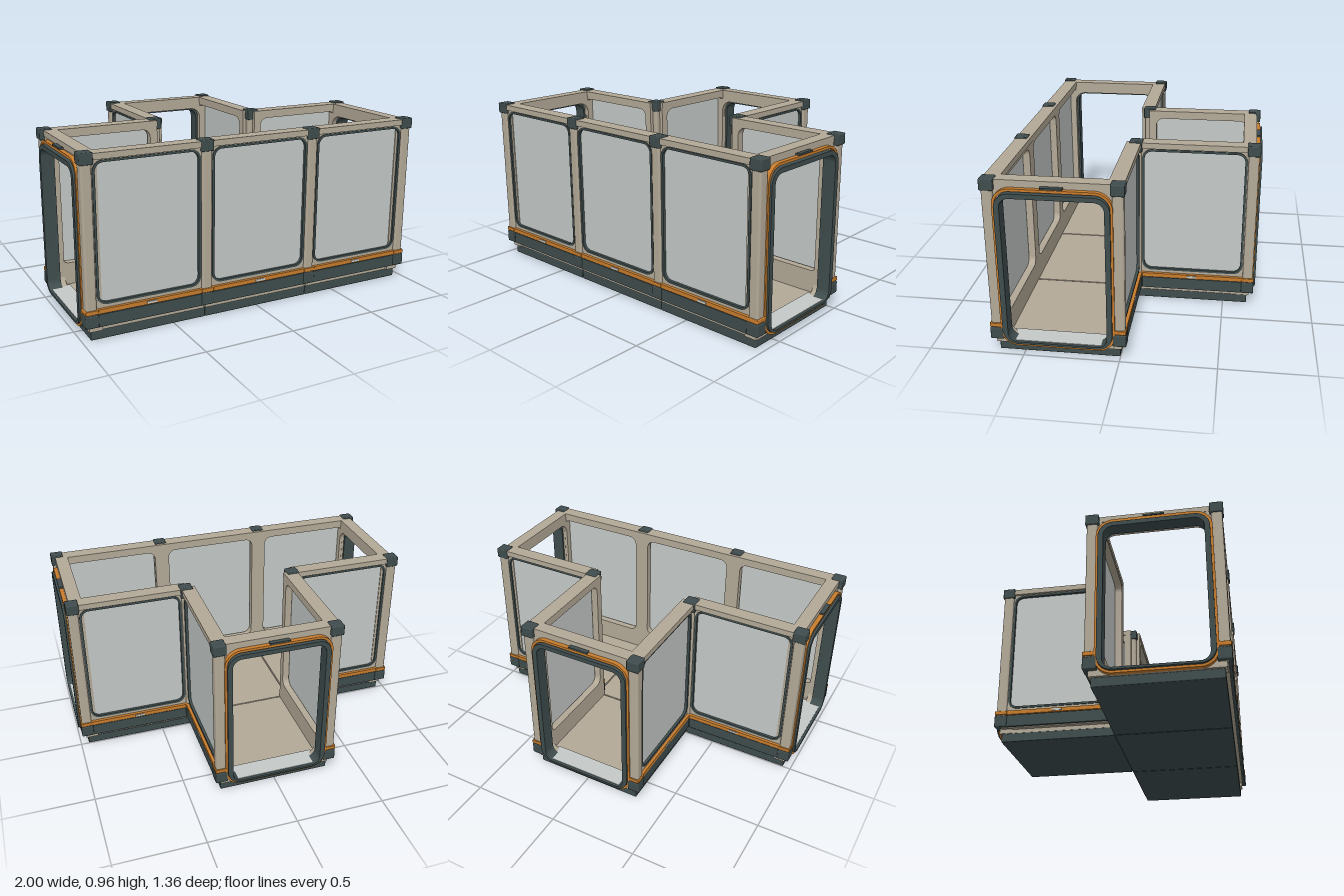
import * as THREE from 'three';
import { toCreasedNormals } from 'three/addons/utils/BufferGeometryUtils.js';
import { RoundedBoxGeometry } from 'three/addons/geometries/RoundedBoxGeometry.js';

const mat = (name, color) => Object.assign(new THREE.MeshStandardMaterial({ color }), { name });
const beige = mat('warm beige', 0xb3a997);
const dark = mat('dark slate', 0x3f4c4d);
const orange = mat('orange trim', 0xc87d2d);
const pale = mat('pale pane', 0xc4c9c7);

const CELL = 0.637, EDGE = 0.955, MID = 0.3185;

// Rounded rectangle outline between two heights
function outline(half, y0, y1, r, Type = THREE.Shape) {
  const s = new Type();
  if (!r) {
    s.moveTo(-half, y0); s.lineTo(half, y0); s.lineTo(half, y1); s.lineTo(-half, y1); s.closePath();
    return s;
  }
  s.moveTo(-half + r, y0);
  s.absarc(half - r, y0 + r, r, -Math.PI / 2, 0);
  s.absarc(half - r, y1 - r, r, 0, Math.PI / 2);
  s.absarc(-half + r, y1 - r, r, Math.PI / 2, Math.PI);
  s.absarc(-half + r, y0 + r, r, Math.PI, Math.PI * 1.5);
  s.closePath();
  return s;
}

function add(group, name, geometry, material, x = 0, y = 0, z = 0) {
  const m = new THREE.Mesh(geometry, material);
  m.name = name;
  m.position.set(x, y, z);
  group.add(m);
  return m;
}

// Plate with a rounded opening; outer and inner are [half, y0, y1, radius]
function ring(group, name, outer, inner, z0, z1, material) {
  const s = outline(...outer);
  if (inner) s.holes.push(outline(...inner, THREE.Path));
  const g = new THREE.ExtrudeGeometry(s, { depth: z1 - z0, bevelEnabled: false, curveSegments: 8 });
  add(group, name, toCreasedNormals(g, 0.5), material, 0, 0, z0);
}

// Box given by its height and depth ranges
function bar(group, name, width, y0, y1, z0, z1, material) {
  add(group, name, new THREE.BoxGeometry(width, y1 - y0, z1 - z0), material, 0, (y0 + y1) / 2, (z0 + z1) / 2);
}

// Closed wall with a window; local +z is outside
function windowWall() {
  const g = new THREE.Group();
  g.name = 'windowWall';
  ring(g, 'wallPanel', [MID, 0.075, 0.94, 0], [0.275, 0.2, 0.91, 0.045], -0.05, 0.015, beige);
  ring(g, 'windowGasket', [0.286, 0.19, 0.92, 0.055], [0.273, 0.202, 0.908, 0.043], -0.01, 0.02, dark);
  ring(g, 'windowPane', [0.276, 0.199, 0.911, 0.045], null, -0.01, 0.005, pale);
  bar(g, 'topBeam', CELL, 0.925, 0.957, -0.052, 0.028, beige);
  bar(g, 'skirt', CELL, 0.08, 0.146, 0, 0.03, dark);
  bar(g, 'trimBand', CELL, 0.15, 0.173, 0, 0.032, orange);
  bar(g, 'badge', 0.055, 0.156, 0.167, 0.03, 0.036, pale);
  return g;
}

// Open doorway with its seals; local +z is outside
function doorWall(half) {
  const g = new THREE.Group();
  g.name = 'doorWall';
  ring(g, 'doorPanel', [half, 0.05, 0.94, 0], [0.27, 0.072, 0.885, 0.065], -0.06, 0.01, beige);
  bar(g, 'topBeam', CELL, 0.925, 0.957, -0.06, 0.012, beige);
  ring(g, 'doorTrim', [0.296, 0.05, 0.92, 0.09], [0.284, 0.062, 0.906, 0.078], 0, 0.034, orange);
  ring(g, 'doorSeal', [0.284, 0.064, 0.898, 0.078], [0.256, 0.076, 0.873, 0.05], -0.03, 0.045, dark);
  bar(g, 'threshold', 0.5, 0.066, 0.079, -0.08, 0.03, pale);
  bar(g, 'doorTag', 0.11, 0.923, 0.932, 0, 0.036, dark);
  return g;
}

// Corner post with its cap, foot and band
function cornerPost() {
  const g = new THREE.Group();
  g.name = 'cornerPost';
  add(g, 'post', new RoundedBoxGeometry(0.057, 0.86, 0.057, 2, 0.012), beige, 0, 0.51, 0);
  add(g, 'postCap', new RoundedBoxGeometry(0.07, 0.06, 0.07, 2, 0.006), dark, 0, 0.934, 0);
  add(g, 'postFoot', new RoundedBoxGeometry(0.07, 0.066, 0.07, 2, 0.006), dark, 0, 0.113, 0);
  add(g, 'postBand', new RoundedBoxGeometry(0.07, 0.023, 0.07, 2, 0.004), orange, 0, 0.1615, 0);
  return g;
}

export function createModel() {
  const root = new THREE.Group();
  root.name = 'corridorJunction';
  const place = (part, x, z, turn = 0) => {
    part.position.set(x, 0, z);
    part.rotation.y = turn;
    root.add(part);
  };

  // Four square floor modules in a T layout
  for (const [x, z] of [[-CELL, MID], [0, MID], [CELL, MID], [0, -MID]]) {
    const g = new THREE.Group();
    g.name = 'floorModule';
    add(g, 'base', new RoundedBoxGeometry(CELL - 0.002, 0.05, CELL - 0.002, 2, 0.005), dark, 0, 0.025, 0);
    add(g, 'floor', new THREE.BoxGeometry(CELL - 0.008, 0.024, CELL - 0.008), beige, 0, 0.06, 0);
    place(g, x, z);
  }

  // Front windows
  for (const x of [-CELL, 0, CELL]) place(windowWall(), x, CELL);

  // Mirrored rear windows, stem windows, end doors and posts
  for (const s of [-1, 1]) {
    place(windowWall(), s * CELL, 0, Math.PI);
    place(windowWall(), s * MID, -MID, s * Math.PI / 2);
    place(doorWall(0.328), s * EDGE, MID, s * Math.PI / 2);
    for (const [x, z] of [[EDGE, CELL], [EDGE, 0], [MID, CELL], [MID, 0], [MID, -CELL]])
      place(cornerPost(), s * x, z);
  }

  // Rear door of the stem
  place(doorWall(MID), 0, -CELL, Math.PI);
  return root;
}
